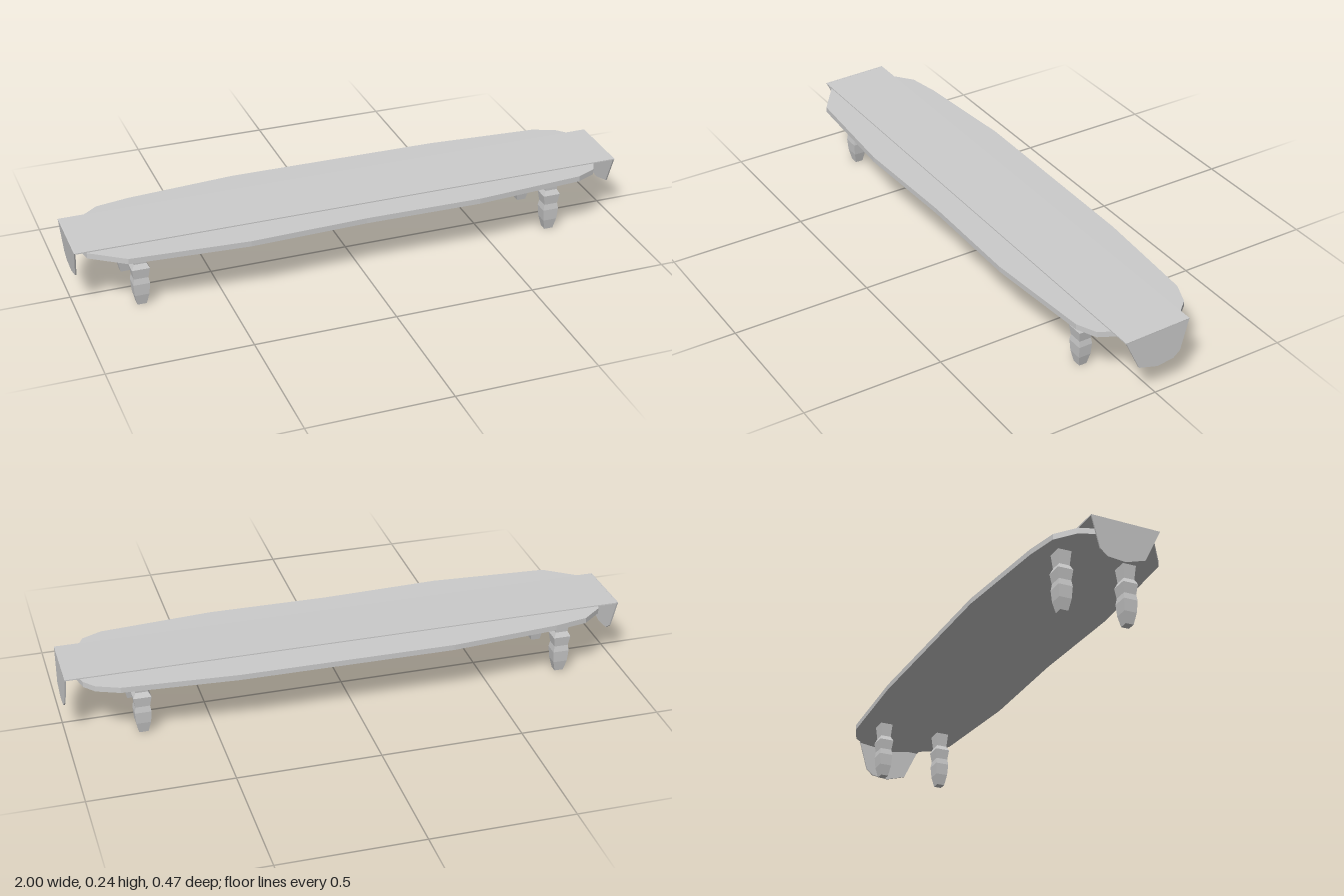
import * as THREE from 'three';

const grey = new THREE.MeshStandardMaterial({ color: 0xcccccc, flatShading: true, side: THREE.DoubleSide });

function shapeOf(points) {
  return new THREE.Shape(points.map(([a, b]) => new THREE.Vector2(a, b)));
}

function addMesh(group, name, geometry) {
  const mesh = new THREE.Mesh(geometry, grey);
  mesh.name = name;
  group.add(mesh);
  return mesh;
}

export function createModel() {
  const table = new THREE.Group();
  table.name = 'table';

  // Irregular slab top, outline as [x, z]
  const outline = [
    [-0.955, 0.12], [-0.835, 0.205], [-0.42, 0.232], [0, 0.217], [0.42, 0.222],
    [0.82, 0.19], [0.89, 0.158], [0.91, 0.12], [0.97, 0], [0.935, -0.135],
    [0.9, -0.175], [0.82, -0.208], [0.42, -0.235], [-0.34, -0.24], [-0.73, -0.207],
    [-0.85, -0.185], [-0.92, -0.13], [-0.975, 0.03],
  ].map(([x, z]) => [x, -z]);
  const slab = new THREE.ExtrudeGeometry(shapeOf(outline), { depth: 0.02, bevelEnabled: false });
  slab.rotateX(-Math.PI / 2).translate(0, 0.21, 0);
  addMesh(table, 'tableTop', slab);

  // Turned square legs, profile as [half width, y]
  const profile = [
    [0, 0], [0.014, 0], [0.022, 0.04], [0.025, 0.083], [0.022, 0.105],
    [0.027, 0.142], [0.019, 0.16], [0.024, 0.212], [0, 0.212],
  ].map(([r, y]) => new THREE.Vector2(r * Math.SQRT2, y));
  for (const x of [-0.78, 0.74]) {
    for (const z of [0.1125, -0.121]) {
      const leg = addMesh(table, 'leg', new THREE.LatheGeometry(profile, 4, Math.PI / 4));
      leg.scale.x = 1.15;
      leg.position.set(x, 0, z);
    }
  }

  // Cloth runner lying slightly tilted along the top
  const runner = addMesh(table, 'runner', new THREE.BoxGeometry(1.988, 0.004, 0.245));
  runner.rotation.x = 0.02;
  runner.position.set(0, 0.2355, -0.003);

  // Hanging runner ends, outline as [-z, y below the fold]
  const flapShape = shapeOf([
    [-0.12, -0.002], [-0.068, -0.114], [0.003, -0.135], [0.066, -0.128],
    [0.092, -0.107], [0.125, 0.003],
  ]);
  for (const [x, tilt] of [[-0.995, 0.07], [0.991, 0.04]]) {
    const cloth = new THREE.ExtrudeGeometry(flapShape, { depth: 0.005, bevelEnabled: false });
    cloth.translate(0, 0, -0.0025).rotateY(Math.PI / 2);
    const flap = addMesh(table, 'runnerEnd', cloth);
    flap.rotation.z = tilt;
    flap.position.set(x, 0.237, 0);
  }

  return table;
}
